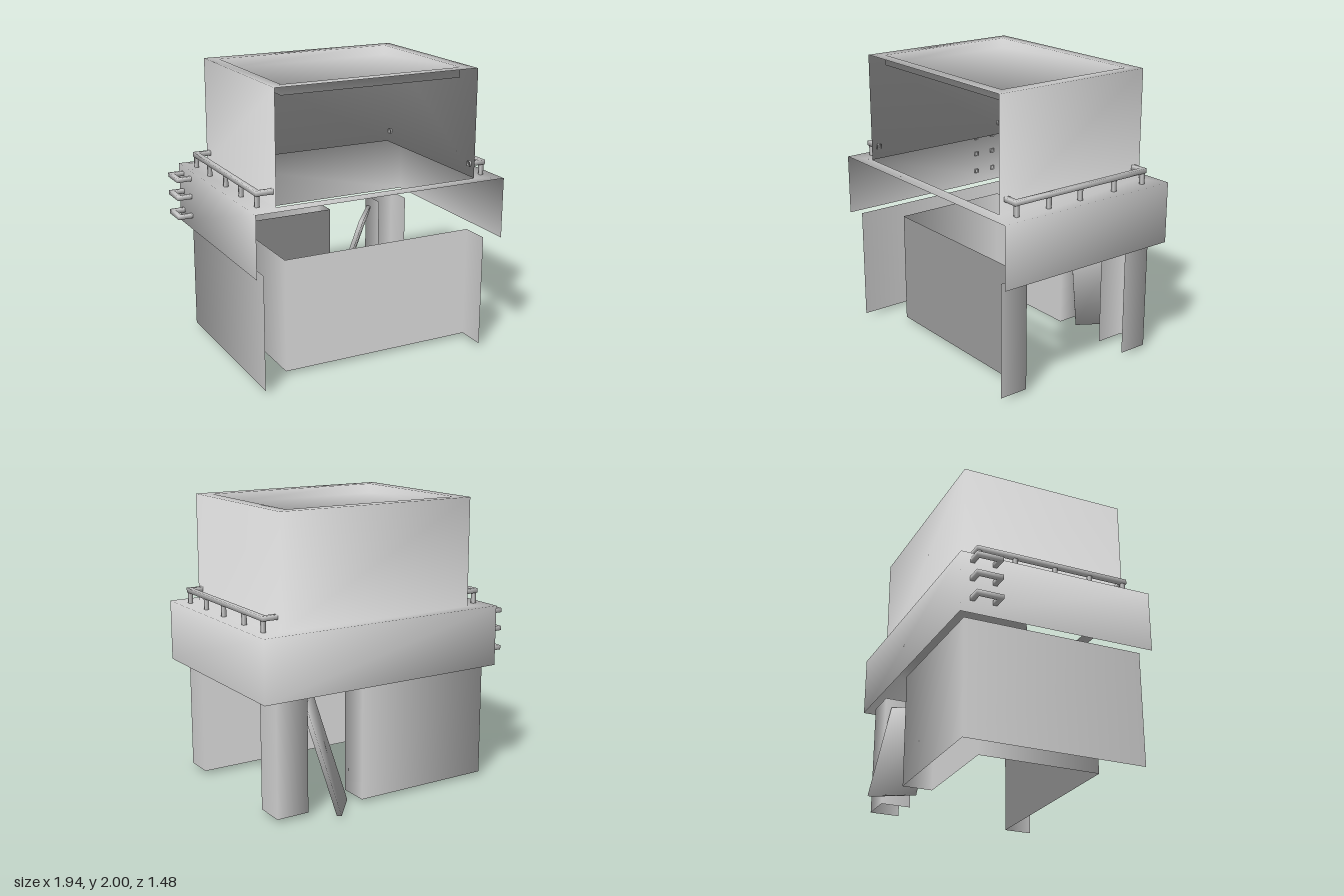
import * as THREE from 'three';
import { mergeVertices } from 'three/addons/utils/BufferGeometryUtils.js';

const material = new THREE.MeshStandardMaterial({ color: 0xcccccc, side: THREE.DoubleSide });

// Mesh from four-cornered faces, welded and shaded smoothly with angle-weighted normals
function smoothMesh(name, quads) {
  const corners = quads.flatMap(([a, b, c, d]) => [a, b, c, a, c, d]);
  const raw = new THREE.BufferGeometry();
  raw.setAttribute('position', new THREE.Float32BufferAttribute(corners.flat(), 3));
  const g = mergeVertices(raw, 1e-4);
  const pos = g.attributes.position, index = g.index.array;
  const normals = Array.from({ length: pos.count }, () => new THREE.Vector3());
  for (let t = 0; t < index.length; t += 3) {
    const ids = [index[t], index[t + 1], index[t + 2]];
    const p = ids.map((i) => new THREE.Vector3().fromBufferAttribute(pos, i));
    const face = new THREE.Triangle(...p).getNormal(new THREE.Vector3());
    ids.forEach((id, k) => {
      const u = p[(k + 1) % 3].clone().sub(p[k]), v = p[(k + 2) % 3].clone().sub(p[k]);
      normals[id].addScaledVector(face, u.angleTo(v));
    });
  }
  const flat = normals.flatMap((n) => n.normalize().toArray());
  g.setAttribute('normal', new THREE.Float32BufferAttribute(flat, 3));
  const mesh = new THREE.Mesh(g, material);
  mesh.name = name;
  return mesh;
}

// Faces joining two rows of points
function band(a, b, closed = false) {
  const quads = [];
  for (let i = 0; i < a.length - (closed ? 0 : 1); i++) {
    const j = (i + 1) % a.length;
    quads.push([a[i], a[j], b[j], b[i]]);
  }
  return quads;
}

// Plans are [x, z] points; rectangles are x0, x1, z0, z1
const at = (plan, y) => plan.map(([x, z]) => [x, y, z]);
const walls = (plan, y0, y1, closed) => band(at(plan, y0), at(plan, y1), closed);
const rect = (x0, x1, z0, z1) => [[x1, z1], [x1, z0], [x0, z0], [x0, z1]];

// Square bar along a horizontal path with right-angled, mitred bends
function squareBar(name, plan, y, r) {
  const side = plan.slice(1).map(([x, z], i) => {
    const d = new THREE.Vector2(x - plan[i][0], z - plan[i][1]).normalize();
    return [d.y, -d.x];
  });
  const rings = plan.map(([x, z], i) => {
    const near = [side[i - 1], side[i]].filter(Boolean);
    const nx = r * near.reduce((s, n) => s + n[0], 0);
    const nz = r * near.reduce((s, n) => s + n[1], 0);
    return [
      [x + nx, y - r, z + nz], [x + nx, y + r, z + nz],
      [x - nx, y + r, z - nz], [x - nx, y - r, z - nz],
    ];
  });
  return smoothMesh(name, rings.slice(1).flatMap((ring, i) => band(rings[i], ring, true)));
}

export function createModel() {
  const model = new THREE.Group();
  model.name = 'building';

  const GROUND = 0.025, FLOOR = 0.82, LEDGE = 1.245, ROOF = 1.93, TOP = 2;

  // Ground storey: hollow thick walls, open at the front, with side and back openings
  model.add(smoothMesh('groundStorey', walls([
    [0.86, 0.685], [0.86, 0.48], [-0.555, 0.48], [-0.555, -0.37],
    [0.21, -0.37], [0.21, -0.58], [-0.795, -0.58], [-0.795, 0.685],
  ], GROUND, FLOOR)));
  model.add(smoothMesh('cornerPillar', walls([
    [0.86, -0.37], [0.86, -0.58], [0.63, -0.58], [0.63, -0.37],
  ], GROUND, FLOOR)));

  // Wide middle storey, ledge, upper storey, rim and sunken roof as one smooth shell
  const middle = rect(-0.865, 0.97, -0.635, 0.74);
  const upper = rect(-0.685, 0.79, -0.54, 0.645);
  const roof = rect(-0.605, 0.705, -0.46, 0.56);
  model.add(smoothMesh('upperStoreys', [
    ...walls(middle, FLOOR, LEDGE),
    ...band(at(middle, LEDGE), at(upper, LEDGE), true),
    ...walls(upper, LEDGE, TOP),
    ...band(at(upper, TOP), at(roof, TOP), true),
    ...band(at(roof, TOP), at(roof, ROOF), true),
    at(roof, ROOF),
  ]));

  // Side railings standing on the ledge
  for (const [name, wallX, railX] of [['leftRailing', 0.775, 0.885], ['rightRailing', -0.67, -0.79]]) {
    const railing = new THREE.Group();
    railing.name = name;
    railing.add(squareBar('rail', [
      [wallX, 0.592], [railX, 0.592], [railX, -0.482], [wallX, -0.482],
    ], 1.336, 0.016));
    for (const z of [0.585, 0.33, 0.07, -0.22, -0.475]) {
      const post = rect(railX - 0.013, railX + 0.013, z - 0.013, z + 0.013);
      railing.add(smoothMesh('railPost', walls(post, LEDGE - 0.01, 1.33, true)));
    }
    model.add(railing);
  }

  // Climbing rungs on the side wall
  for (const y of [0.92, 1.06, 1.19]) {
    model.add(squareBar('rung', [
      [-0.855, -0.4], [-0.955, -0.4], [-0.955, -0.555], [-0.855, -0.555],
    ], y, 0.015));
  }

  // Loose door leaf leaning in the back opening
  const foot = [[0.26, 0, -0.475], [0.285, 0, -0.455], [0.495, 0.018, -0.715], [0.47, 0.018, -0.735]];
  const head = foot.map(([x, y, z]) => [x + 0.15, y + 0.73, z + 0.195]);
  model.add(smoothMesh('doorLeaf', [...band(foot, head, true), head, [...foot].reverse()]));

  return model;
}
